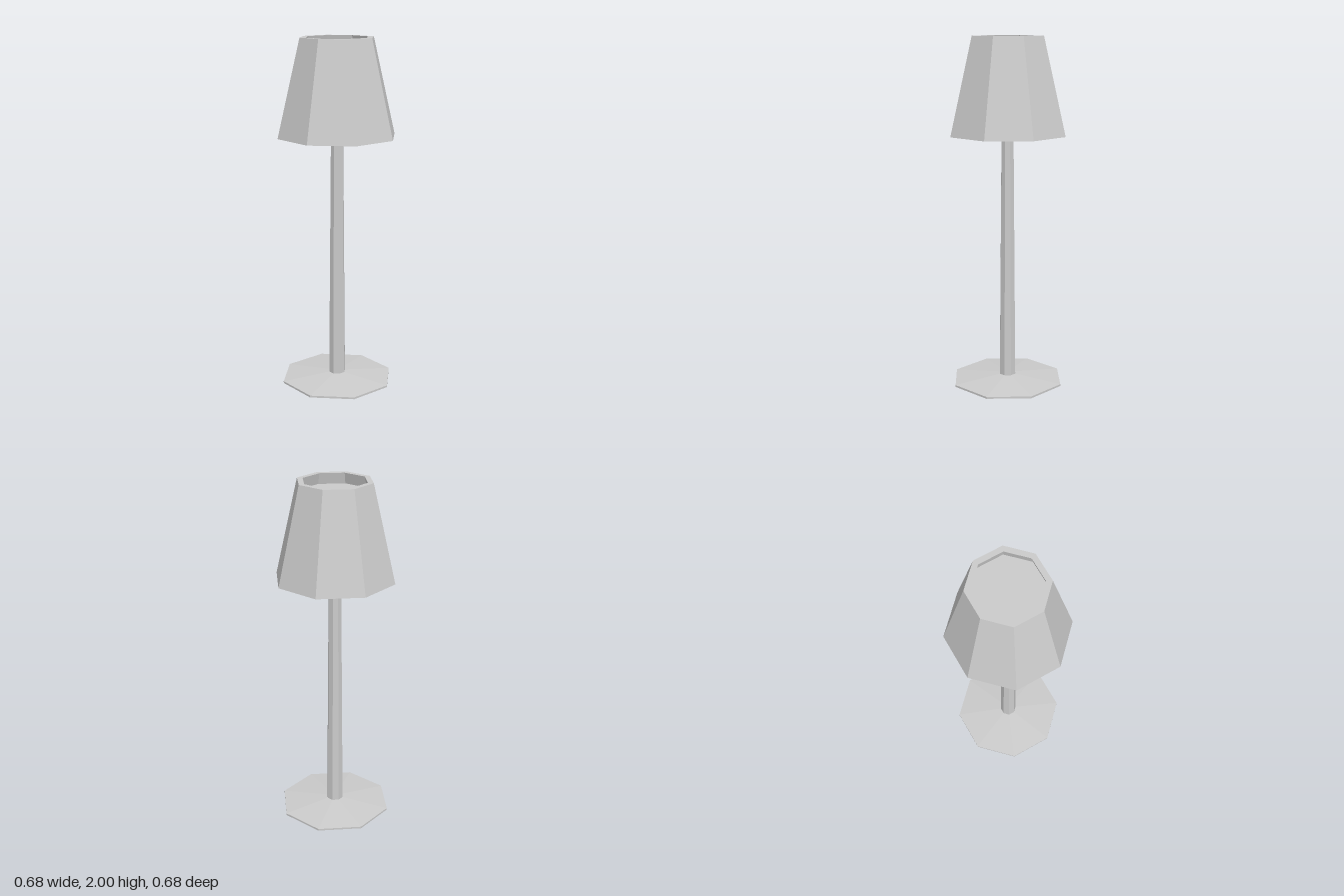
import * as THREE from 'three';

const SIDES = 8;

export function createModel() {
  const group = new THREE.Group();
  const material = new THREE.MeshStandardMaterial({ color: 0xcccccc, flatShading: true });

  // Eight-sided solid turned from a closed [radius, height] profile, listed bottom to top
  const turned = (name, profile) => {
    const points = profile.map(([r, y]) => new THREE.Vector2(r, y));
    const mesh = new THREE.Mesh(new THREE.LatheGeometry(points, SIDES), material);
    mesh.name = name;
    group.add(mesh);
  };

  // Thin foot plate, rising slightly to the post
  turned('base', [[0, 0.006], [0.328, 0.006], [0.328, 0.017], [0.048, 0.043], [0, 0.043]]);

  // Tapered post, with a small stud showing under the base
  turned('post', [[0, 0], [0.035, 0], [0.035, 0.02], [0.049, 0.03], [0.035, 1.6], [0, 1.6]]);

  // Shade with a rim and a recess at both the bottom and the top
  turned('shade', [
    [0, 1.565], [0.284, 1.565], [0.31, 1.455], [0.342, 1.455],
    [0.212, 2], [0.18, 2], [0.195, 1.938], [0, 1.938],
  ]);

  return group;
}
